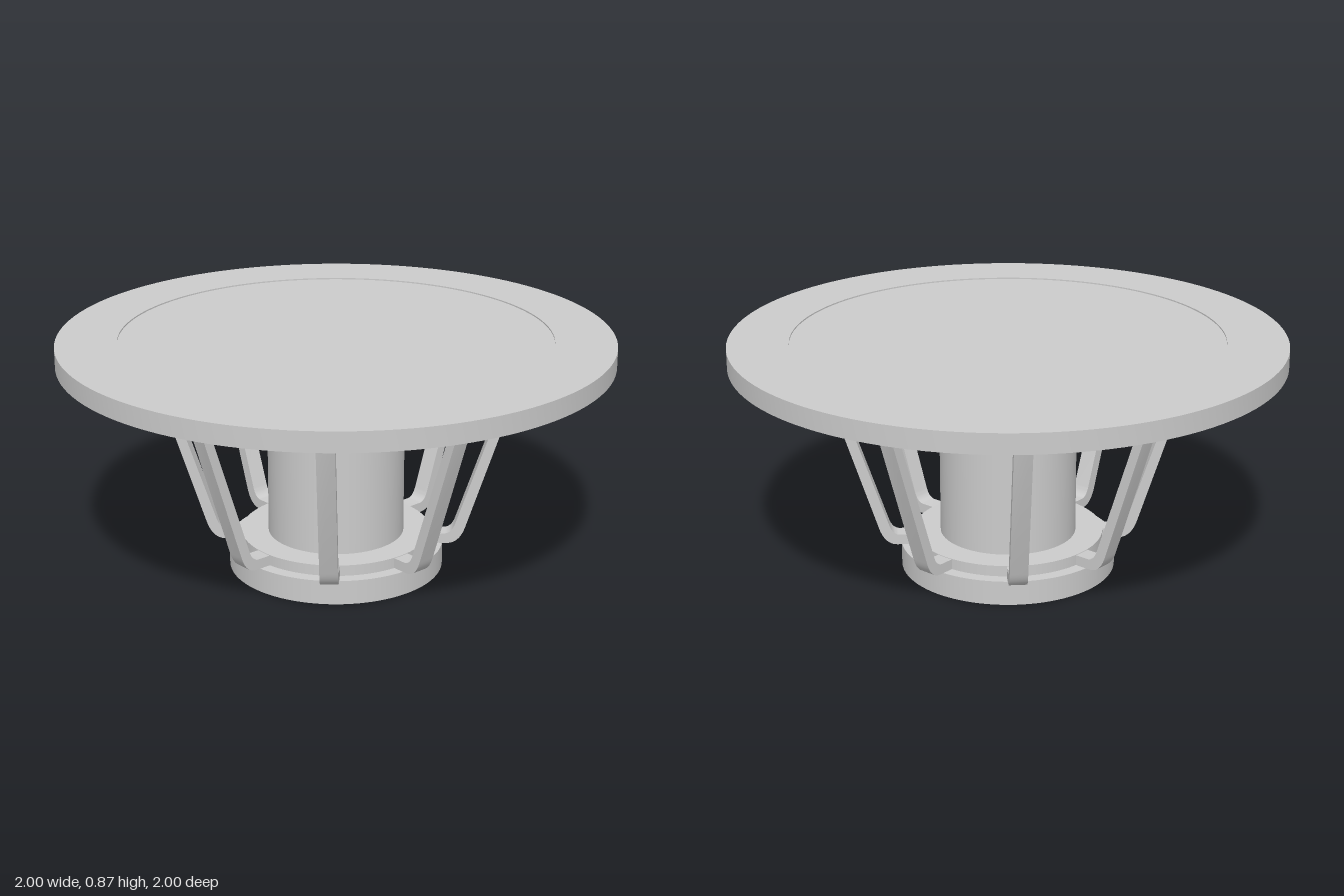
import * as THREE from 'three';
import { toCreasedNormals } from 'three/addons/utils/BufferGeometryUtils.js';

const material = new THREE.MeshStandardMaterial({ color: 0xcccccc });

function addMesh(parent, name, geometry) {
  const mesh = new THREE.Mesh(geometry, material);
  mesh.name = name;
  parent.add(mesh);
  return mesh;
}

// Upright solid disc between two heights
function addDisc(parent, name, radius, y0, y1, segments = 96) {
  const geometry = new THREE.CylinderGeometry(radius, radius, y1 - y0, segments);
  addMesh(parent, name, geometry).position.y = (y0 + y1) / 2;
}

// Bent flat bar: side outline (radius, height) extruded to the bar width
function armGeometry(width) {
  const s = new THREE.Shape();
  s.moveTo(0.24, 0.09);
  s.lineTo(0.41, 0.09);
  s.quadraticCurveTo(0.457, 0.09, 0.478, 0.155);
  s.lineTo(0.67, 0.745);
  s.quadraticCurveTo(0.688, 0.84, 0.6, 0.84);
  s.lineTo(0.24, 0.84);
  s.lineTo(0.24, 0.803);
  s.lineTo(0.61, 0.803);
  s.quadraticCurveTo(0.652, 0.803, 0.635, 0.745);
  s.lineTo(0.44, 0.165);
  s.quadraticCurveTo(0.427, 0.128, 0.4, 0.128);
  s.lineTo(0.24, 0.128);
  s.closePath();
  const geometry = new THREE.ExtrudeGeometry(s, { depth: width, bevelEnabled: false, curveSegments: 10 });
  geometry.translate(0, 0, -width / 2);
  return toCreasedNormals(geometry, Math.PI / 6);
}

export function createModel() {
  const group = new THREE.Group();

  // Pedestal: foot, hub, column and upper collar
  addDisc(group, 'foot', 0.395, 0, 0.09);
  addDisc(group, 'hub', 0.35, 0.09, 0.13);
  addDisc(group, 'column', 0.25, 0.13, 0.74);
  addDisc(group, 'collar', 0.285, 0.735, 0.84);

  // Eight bent arms around the column
  const arm = armGeometry(0.065);
  for (let i = 0; i < 8; i++) {
    addMesh(group, 'arm', arm).rotation.y = (i * Math.PI) / 4;
  }

  // Table top: outer rim with a thinner panel set into it
  const profile = [[0.78, 0.8], [1, 0.8], [1, 0.872], [0.78, 0.872], [0.78, 0.8]]
    .map(([r, y]) => new THREE.Vector2(r, y));
  const rim = new THREE.LatheGeometry(profile, 128);
  addMesh(group, 'tableRim', toCreasedNormals(rim, Math.PI / 6));
  addDisc(group, 'tablePanel', 0.78, 0.84, 0.867, 128);

  return group;
}
